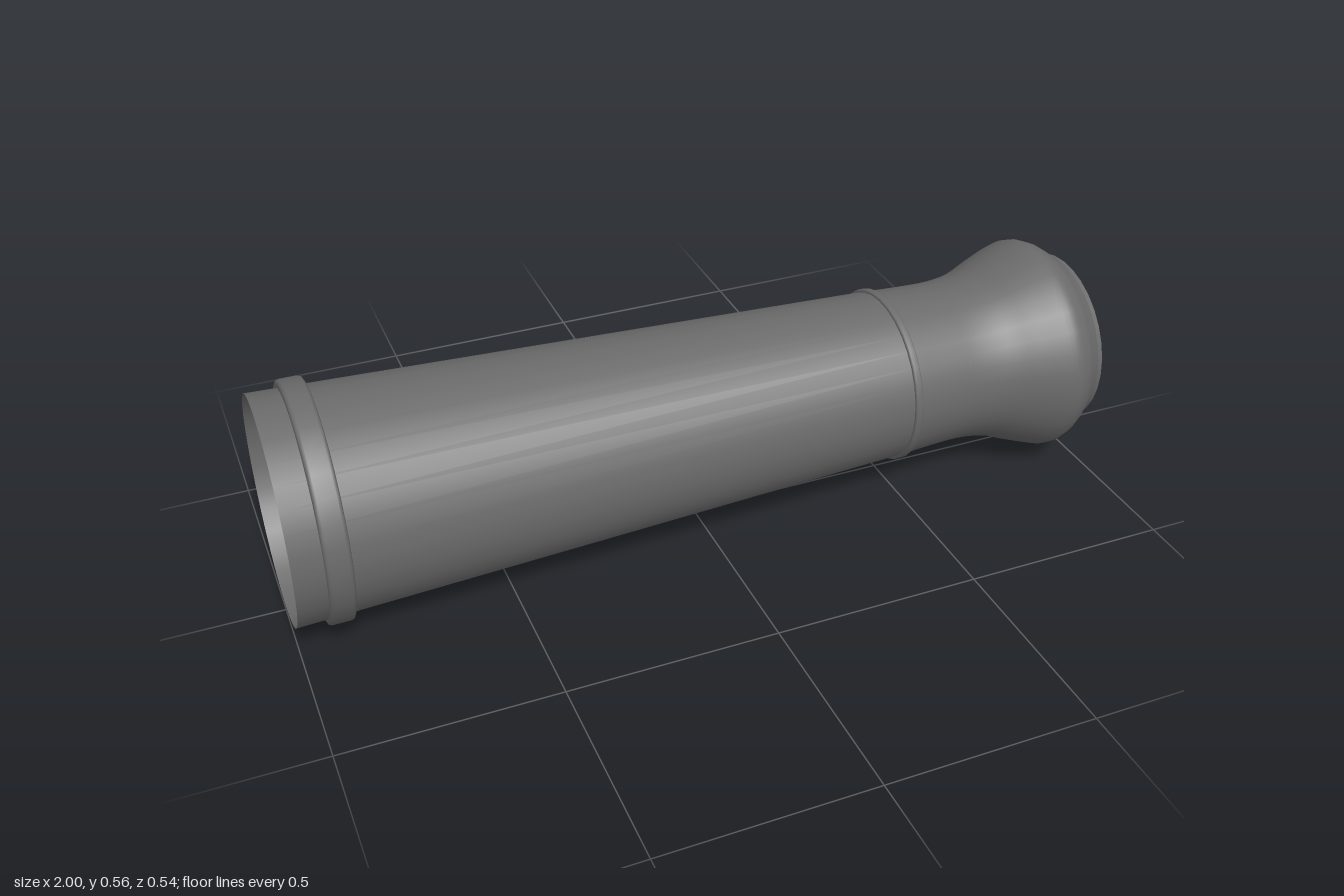
import * as THREE from 'three';

const SEGMENTS = 32;
const AXIS_HEIGHT = 0.277;

export function createModel() {
  const group = new THREE.Group();
  const material = new THREE.MeshStandardMaterial({ color: 0x6b6b6b, side: THREE.DoubleSide });

  // Turns a profile of [x, radius] points about the horizontal barrel axis
  function turned(name, profile) {
    const points = profile.map(([x, r]) => new THREE.Vector2(r, x));
    const geometry = new THREE.LatheGeometry(points, SEGMENTS);
    geometry.rotateZ(-Math.PI / 2);
    const mesh = new THREE.Mesh(geometry, material);
    mesh.name = name;
    mesh.position.y = AXIS_HEIGHT;
    group.add(mesh);
    return mesh;
  }

  // Raised band with rounded shoulders
  function band(name, x, width, inner, outer) {
    const h = width / 2;
    const c = Math.min(h * 0.4, (outer - inner) * 0.5);
    return turned(name, [
      [x - h, inner], [x - h, outer - c], [x - h + c * 0.3, outer - c * 0.3], [x - h + c, outer],
      [x + h - c, outer], [x + h - c * 0.3, outer - c * 0.3], [x + h, outer - c], [x + h, inner],
    ]);
  }

  // Thin tapered barrel, open at the rear
  turned('barrel', [[-1, 0.263], [0.49, 0.207]]);

  // Neck sweeping into the flared muzzle and round to its lip
  const flare = new THREE.SplineCurve([
    [0.49, 0.207], [0.6, 0.201], [0.68, 0.2], [0.75, 0.211], [0.82, 0.238],
    [0.895, 0.263], [0.935, 0.254], [0.965, 0.232], [0.988, 0.214],
  ].map(([x, r]) => new THREE.Vector2(x, r)));
  turned('muzzleFlare', flare.getPoints(40).map((p) => [p.x, p.y]));
  turned('muzzleLip', [[0.988, 0.214], [1, 0.212]]);

  // Flat muzzle face and the bore behind it
  turned('muzzleFace', [[1, 0.212], [1, 0.156]]);
  turned('bore', [[1, 0.156], [0.5, 0.156]]);

  // Reinforcing bands
  const rearBand = band('rearBand', -0.902, 0.058, 0.262, 0.279);
  rearBand.scale.z = 0.975;
  rearBand.position.y = 0.279;
  band('frontBand', 0.493, 0.02, 0.206, 0.214);

  return group;
}
